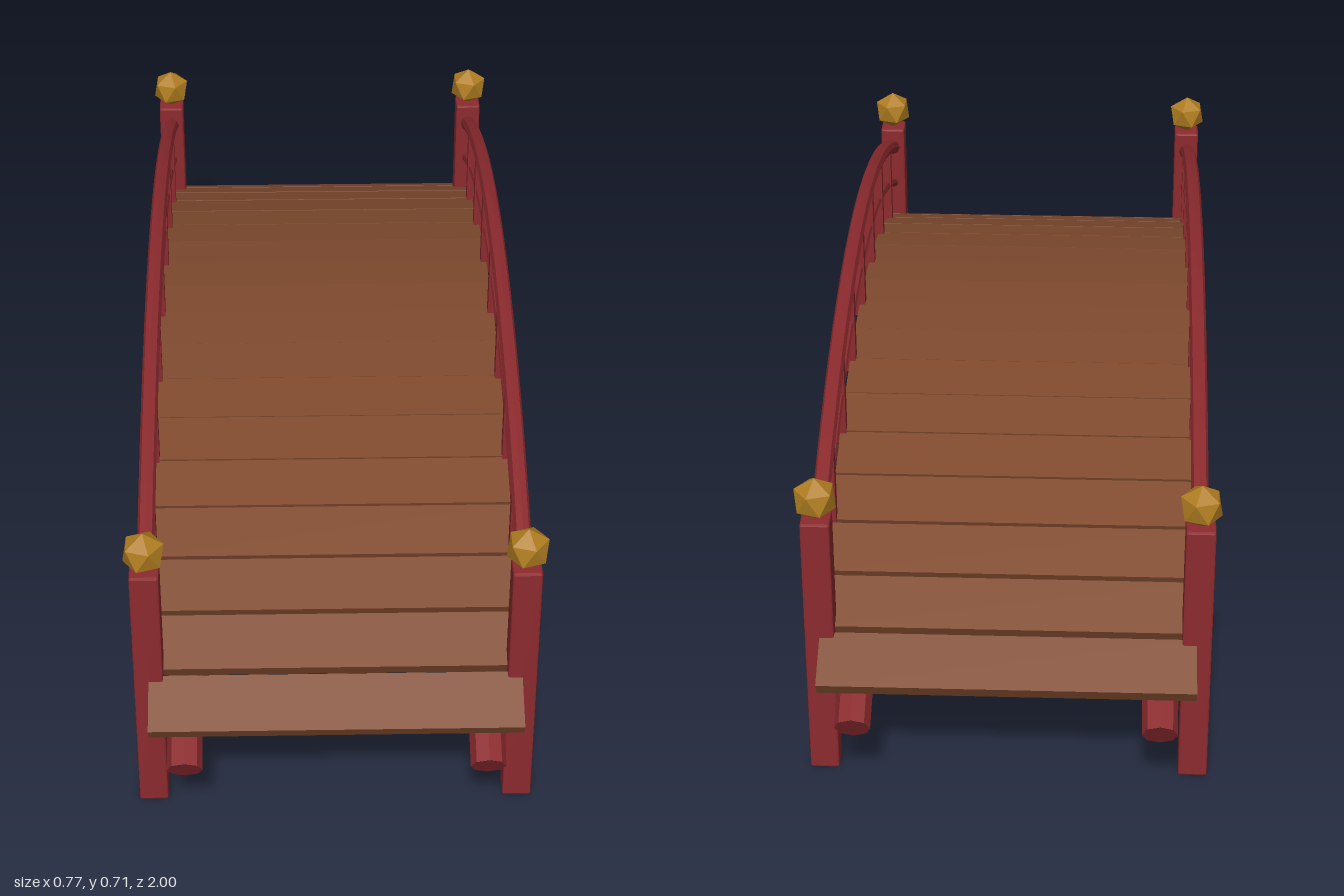
import * as THREE from 'three';
import { RoundedBoxGeometry } from 'three/addons/geometries/RoundedBoxGeometry.js';

const BEND = 0.29;                                   // every arch follows y = peak - BEND * z^2
const archY = (peak, z) => peak - BEND * z * z;
const slope = (z) => Math.atan(2 * BEND * z);
const SIDE_X = 0.345;                                // rails and posts
const POST_Z = 0.86;

export function createModel() {
  const material = (name, color) => {
    const m = new THREE.MeshStandardMaterial({ color, flatShading: true });
    m.name = name;
    return m;
  };
  const red = material('redPaint', 0x8c2a2e);
  const wood = material('brownWood', 0x7f4a2e);
  const gold = material('gold', 0xb07d20);

  const bridge = new THREE.Group();
  bridge.name = 'archedBridge';

  const add = (name, geometry, mat, x, y, z, tilt = 0) => {
    const mesh = new THREE.Mesh(geometry, mat);
    mesh.name = name;
    mesh.position.set(x, y, z);
    mesh.rotation.x = tilt;
    bridge.add(mesh);
    return mesh;
  };

  // Octagonal bar swept along the arch, closed at both ends
  const addArch = (name, x, peak, halfLength, radius) => {
    const points = [];
    for (let i = 0; i <= 24; i++) {
      const z = halfLength * (i / 12 - 1);
      points.push(new THREE.Vector3(0, archY(peak, z), z));
    }
    const path = new THREE.CatmullRomCurve3(points);
    add(name, new THREE.TubeGeometry(path, 32, radius, 8), red, x, 0, 0);
    const endY = archY(peak, halfLength);
    const cap = new THREE.CircleGeometry(radius, 8);
    add(name + 'FrontCap', cap, red, x, endY, halfLength, slope(halfLength));
    add(name + 'BackCap', cap.clone().rotateY(Math.PI), red, x, endY, -halfLength, -slope(halfLength));
  };

  // Deck planks, tilted to follow the arch
  const plank = new THREE.BoxGeometry(2 * SIDE_X, 0.028, 0.109);
  const plankCount = 18;
  for (let i = 0; i < plankCount; i++) {
    const z = (i - (plankCount - 1) / 2) * 0.108;
    add('deckPlank', plank, wood, 0, archY(0.508, z), z, slope(z));
  }

  const post = new RoundedBoxGeometry(0.054, 0.54, 0.054, 1, 0.004);
  // Faceted ball with one corner pointing straight up
  const finial = new THREE.IcosahedronGeometry(0.042, 0)
    .rotateX(-Math.atan((1 + Math.sqrt(5)) / 2))
    .rotateY(Math.PI / 2);

  for (const side of [1, -1]) {
    const x = side * SIDE_X;

    // Support beam and handrails
    addArch('supportBeam', side * 0.28, 0.444, 0.982, 0.033);
    addArch('topRail', x, 0.697, POST_Z, 0.016);
    addArch('middleRail', x, 0.605, POST_Z, 0.01);

    // Balusters between the end posts
    for (let i = -3; i <= 3; i++) {
      const z = i * POST_Z / 4;
      const bottom = archY(0.498, z), top = archY(0.697, z);
      add('baluster', new THREE.BoxGeometry(0.024, top - bottom, 0.024), red, x, (top + bottom) / 2, z);
    }

    // End posts with gold finials
    for (const end of [1, -1]) {
      add('post', post, red, x, 0.27, end * POST_Z);
      add('finial', finial, gold, x, 0.58, end * POST_Z);
    }
  }

  return bridge;
}
